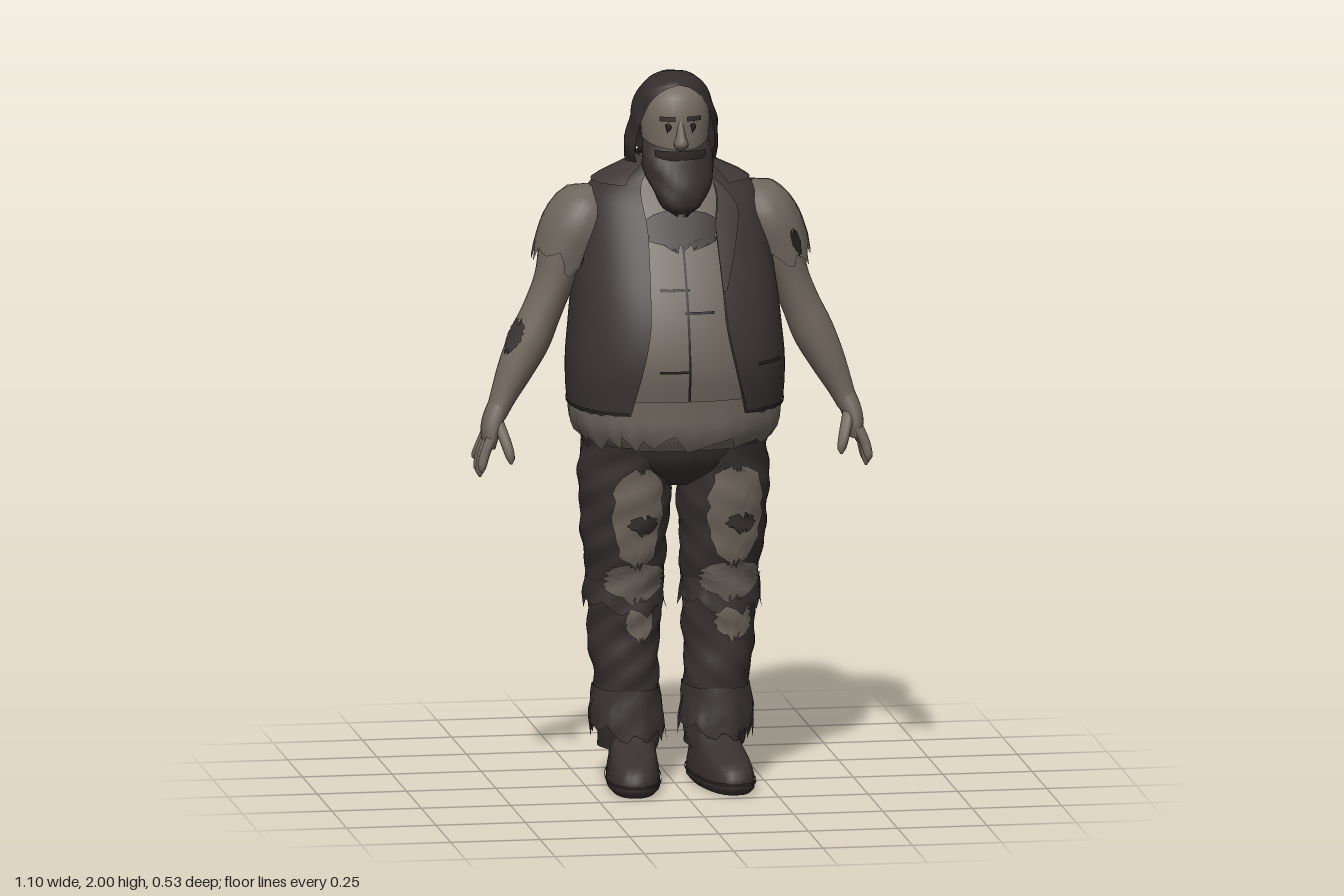
import * as THREE from 'three';

const mat = (name, color) => Object.assign(
  new THREE.MeshStandardMaterial({ color, side: THREE.DoubleSide }), { name });
const M = {
  skin: mat('skin', 0x746a60), shirt: mat('shirt', 0x6d665d), vest: mat('vest', 0x3b3434),
  trousers: mat('trousers', 0x393232), hair: mat('hair', 0x342d2d), boots: mat('boots', 0x383130),
  seam: mat('dark seam', 0x262121), lapel: mat('lapel', 0x413939),
};
const rnd = i => { const s = Math.sin(i * 127.1 + 11.7) * 43758.5453; return s - Math.floor(s); };
const lerp = THREE.MathUtils.lerp;
const TAU = Math.PI * 2;

// Smooth body through rings [y, x, z, rx, rz, tilt], bottom to top; angle 0 faces the front
function surface(rings, { p = 2, wrinkle = 0 } = {}) {
  const slope = (i, k) => {
    const a = rings[Math.max(0, i - 1)], b = rings[Math.min(rings.length - 1, i + 1)];
    return ((b[k] || 0) - (a[k] || 0)) / (b[0] - a[0]);
  };
  const f = (a, y, off = 0) => {
    let i = 0;
    while (i < rings.length - 2 && y > rings[i + 1][0]) i++;
    const A = rings[i], B = rings[i + 1], h = B[0] - A[0];
    const t = THREE.MathUtils.clamp((y - A[0]) / h, 0, 1), t2 = t * t, t3 = t2 * t;
    const val = k => (2 * t3 - 3 * t2 + 1) * (A[k] || 0) + (t3 - 2 * t2 + t) * h * slope(i, k)
      + (3 * t2 - 2 * t3) * (B[k] || 0) + (t3 - t2) * h * slope(i + 1, k);
    const pw = v => Math.sign(v) * Math.abs(v) ** (2 / p);
    const fold = off + wrinkle * Math.sin(y * 55 + a * 2) * Math.sin(a * 3 + y * 17);
    const u = (Math.max(val(3), 0.002) + fold) * pw(Math.sin(a));
    const w = (Math.max(val(4), 0.002) + fold) * pw(Math.cos(a));
    const tilt = val(5);
    return new THREE.Vector3(val(1) + u * Math.cos(tilt), y + u * Math.sin(tilt), val(2) + w);
  };
  f.lo = rings[0][0];
  f.hi = rings[rings.length - 1][0];
  return f;
}
const mirror = f => Object.assign((a, y, o) => {
  const v = f(-a, y, o); v.x *= -1; return v;
}, { lo: f.lo, hi: f.hi });

// Sheet lying on a surface between two heights and two angles, with optional torn ends
function sheet(name, f, material, o = {}) {
  const { y0 = f.lo, y1 = f.hi, a0 = () => -Math.PI, a1 = () => Math.PI, off = 0, flare = 0,
    jag = 0, jagTop = 0, nu = 28, nv = 16 } = o;
  const pos = [], idx = [];
  for (let j = 0; j <= nv; j++) for (let i = 0; i <= nu; i++) {
    const v = j / nv, k = i % nu;
    const y = lerp(y0 + jag * (rnd(k) - 0.5), y1 + jagTop * (rnd(k + 50) - 0.5), v);
    const q = f(lerp(a0(v), a1(v), i / nu), y, off + flare * (1 - v) * (0.5 + rnd(k + 9)));
    pos.push(q.x, q.y, q.z);
    if (i < nu && j < nv) {
      const n = j * (nu + 1) + i, m = n + nu + 1;
      idx.push(n, n + 1, m + 1, n, m + 1, m);
    }
  }
  const g = new THREE.BufferGeometry();
  g.setAttribute('position', new THREE.Float32BufferAttribute(pos, 3));
  g.setIndex(idx);
  g.computeVertexNormals();
  const mesh = new THREE.Mesh(g, material);
  mesh.name = name;
  return mesh;
}
// Rounded patch with ragged edges
function patch(name, f, material, a, w, y0, y1, off = 0.006) {
  const half = v => w * (0.25 + 0.75 * Math.sqrt(Math.max(0, 1 - (2 * v - 1) ** 2)))
    * (0.85 + 0.3 * rnd(Math.round(v * 12) + w * 7));
  return sheet(name, f, material, { y0, y1, off, jag: 0.03, jagTop: 0.03, nu: 10, nv: 12,
    a0: v => a - half(v), a1: v => a + half(v) });
}

export function createModel() {
  const model = new THREE.Group();
  const add = (...m) => model.add(...m);

  // Torso in a shirt
  const torso = surface([
    [0.97, 0, 0, 0.23, 0.2], [1.02, 0, 0, 0.268, 0.232], [1.1, 0, 0, 0.285, 0.245],
    [1.2, 0, 0.002, 0.288, 0.258], [1.3, 0, -0.003, 0.28, 0.25], [1.4, 0, -0.015, 0.27, 0.228],
    [1.5, 0, -0.04, 0.258, 0.202], [1.6, 0, -0.065, 0.245, 0.168], [1.66, 0, -0.075, 0.225, 0.14],
    [1.7, 0, -0.078, 0.18, 0.11], [1.74, 0, -0.07, 0.1, 0.085], [1.77, 0, -0.06, 0.07, 0.06],
  ], { p: 2.3 });
  add(sheet('shirt', torso, M.shirt, { nu: 48, nv: 36 }));
  add(sheet('tornShirtHem', torso, M.shirt,
    { y0: 0.99, y1: 1.12, off: 0.007, flare: 0.012, jag: 0.06, nu: 60, nv: 5 }));
  add(patch('chestHair', torso, M.hair, 0, 0.38, 1.53, 1.62));
  add(sheet('shirtPlacket', torso, M.seam,
    { y0: 1.0, y1: 1.55, off: 0.004, nu: 1, nv: 20, a0: () => -0.006, a1: () => 0.006 }));
  for (const [a, y] of [[-0.1, 1.42], [0.1, 1.36], [-0.12, 1.2], [0.08, 1.08]])
    add(sheet('shirtCrease', torso, M.seam, { y0: y, y1: y + 0.007, off: 0.004, nu: 6, nv: 1,
      a0: () => a - 0.12, a1: v => a + 0.12 }));

  // Open waistcoat with lapels, collar and seams
  const edge = v => 0.31 + 0.2 * Math.max(0, 1 - v / 0.4) ** 1.5 + 0.3 * Math.max(0, (v - 0.7) / 0.3) ** 2;
  add(sheet('vest', torso, M.vest, { y0: 1.075, y1: 1.755, off: 0.014, jag: 0.012, nu: 60, nv: 36,
    a0: edge, a1: v => TAU - edge(v) }));
  add(sheet('vestHem', torso, M.seam, { y0: 1.078, y1: 1.088, off: 0.017, nu: 48, nv: 1,
    a0: () => 0.52, a1: () => TAU - 0.52 }));
  add(sheet('vestYokeSeam', torso, M.seam, { y0: 1.53, y1: 1.537, off: 0.017, nu: 24, nv: 1,
    a0: () => 2.1, a1: () => TAU - 2.1 }));
  add(sheet('vestCollar', torso, M.lapel, { y0: 1.69, y1: 1.765, off: 0.026, nu: 32, nv: 5,
    a0: v => 0.65 + v * 0.3, a1: v => TAU - 0.65 - v * 0.3 }));
  for (const f of [torso, mirror(torso)]) {
    add(sheet('lapel', f, M.lapel, { y0: 1.42, y1: 1.71, off: 0.022, nu: 5, nv: 12,
      a0: v => 0.3 + 0.4 * Math.max(0, v - 0.6), a1: v => 0.34 + 0.42 * Math.min(v, 1.5 - v * 1.1) }));
    add(sheet('vestFrontEdge', f, M.seam, { y0: 1.08, y1: 1.5, off: 0.017, nu: 1, nv: 14,
      a0: v => edge(v * 0.62), a1: v => edge(v * 0.62) + 0.02 }));
    add(sheet('vestPocket', f, M.seam, { y0: 1.21, y1: 1.22, off: 0.017, nu: 6, nv: 1,
      a0: () => 0.65, a1: () => 1.05 }));
  }

  // Seat of the trousers
  add(sheet('trouserSeat', surface([[0.85, 0, -0.03, 0.05, 0.1], [0.89, 0, -0.025, 0.17, 0.165],
    [0.95, 0, -0.012, 0.25, 0.195], [1.06, 0, -0.005, 0.262, 0.215]], { p: 2.3 }), M.trousers));

  // Limbs, built on the left and mirrored to the right
  const leg = surface([
    [0.1, 0.122, -0.06, 0.082, 0.1], [0.2, 0.125, -0.06, 0.09, 0.105], [0.3, 0.128, -0.06, 0.089, 0.108],
    [0.42, 0.133, -0.065, 0.1, 0.117], [0.52, 0.133, -0.055, 0.1, 0.12], [0.6, 0.134, -0.045, 0.108, 0.132],
    [0.75, 0.137, -0.025, 0.121, 0.157], [0.87, 0.136, -0.02, 0.127, 0.175], [0.98, 0.13, -0.01, 0.125, 0.185],
  ], { p: 2.2, wrinkle: 0.005 });
  const boot = surface([
    [0, 0, 0.03, 0.062, 0.18], [0.012, 0, 0.033, 0.073, 0.192], [0.05, 0, 0.033, 0.072, 0.19],
    [0.085, 0, 0.02, 0.066, 0.165], [0.115, 0, -0.02, 0.063, 0.115], [0.15, 0, -0.05, 0.066, 0.085],
    [0.24, 0, -0.055, 0.07, 0.085]], { p: 2.5 });
  const arm = surface([
    [1.04, 0.492, -0.05, 0.028, 0.045, 0.35], [1.09, 0.472, -0.053, 0.036, 0.046, 0.42],
    [1.17, 0.435, -0.058, 0.05, 0.06, 0.45], [1.25, 0.396, -0.06, 0.058, 0.068, 0.45],
    [1.33, 0.361, -0.06, 0.054, 0.07, 0.4], [1.41, 0.328, -0.062, 0.056, 0.078, 0.35],
    [1.5, 0.293, -0.066, 0.075, 0.095, 0.3], [1.58, 0.258, -0.07, 0.082, 0.108, 0.35],
    [1.64, 0.225, -0.072, 0.06, 0.085, 0.5], [1.67, 0.2, -0.074, 0.01, 0.02, 0.5]]);
  const palm = surface([[0.955, 0.512, -0.045, 0.017, 0.052, 0.25], [0.99, 0.51, -0.046, 0.025, 0.058, 0.25],
    [1.03, 0.5, -0.048, 0.029, 0.053, 0.3], [1.08, 0.478, -0.052, 0.03, 0.042, 0.4]]);
  const fingers = [0, 1, 2, 3].map(i => {
    const z = 0.0 - i * 0.031, end = [0.89, 0.872, 0.878, 0.905][i], spread = (1.5 - i) * 0.008;
    return surface([[end, 0.54, z + spread, 0.003, 0.003], [end + 0.012, 0.541, z + spread, 0.011, 0.011],
      [0.94, 0.532, z + spread / 2, 0.014, 0.014, 0.3], [0.985, 0.513, z, 0.015, 0.015, 0.3]]);
  });
  const thumb = surface([[0.915, 0.462, 0.028, 0.003, 0.003], [0.93, 0.463, 0.027, 0.012, 0.012],
    [0.97, 0.473, 0.014, 0.016, 0.016], [1.03, 0.492, -0.025, 0.017, 0.02]]);

  for (const side of [1, -1]) {
    const at = f => side > 0 ? f : mirror(f);
    const n = (side > 0 ? 'left' : 'right');
    const L = at(leg), A = at(arm);
    add(sheet(n + 'TrouserLeg', L, M.trousers, { nu: 32, nv: 60 }));
    add(sheet(n + 'RaggedCuff', L, M.trousers,
      { y0: 0.14, y1: 0.27, off: 0.004, flare: 0.014, jag: 0.07, nu: 36, nv: 4 }));
    add(sheet(n + 'KneeFold', L, M.trousers,
      { y0: 0.5, y1: 0.58, off: 0.002, flare: 0.012, jag: 0.05, nu: 36, nv: 4 }));
    // Holes torn in the trousers
    add(patch(n + 'ThighTear', L, M.skin, 0.12, side > 0 ? 0.62 : 0.55, 0.63, 0.91));
    add(patch(n + 'KneeTear', L, M.shirt, 0.1, 0.75, 0.53, 0.63, 0.013));
    add(patch(n + 'ShinTear', L, M.skin, 0.25, side > 0 ? 0.5 : 0.34, 0.41, 0.51));
    add(patch(n + 'CalfTear', L, M.skin, Math.PI - 0.35, 0.32, 0.42, 0.52));
    add(patch(n + 'TearThreads', L, M.trousers, 0.2, 0.3, 0.73, 0.77, 0.013));

    // Boot with a dark welt
    const foot = new THREE.Group();
    foot.name = n + 'Boot';
    foot.add(sheet('bootUpper', boot, M.boots, { nu: 28, nv: 20 }));
    foot.add(sheet('bootWelt', boot, M.seam, { y0: 0.028, y1: 0.036, off: 0.004, nv: 1 }));
    const sole = new THREE.Mesh(new THREE.CylinderGeometry(1, 1, 0.008, 28), M.boots);
    sole.name = 'sole';
    sole.scale.set(0.064, 1, 0.18);
    sole.position.set(0, 0.004, 0.03);
    foot.add(sole);
    foot.position.x = side * 0.118;
    foot.rotation.y = side * 0.12;
    add(foot);

    // Arm, torn sleeve and hand
    add(sheet(n + 'Arm', A, M.skin, { nu: 24, nv: 36 }));
    add(sheet(n + 'Sleeve', A, M.shirt,
      { y0: 1.46, y1: 1.665, off: 0.008, flare: 0.009, jag: 0.075, nu: 32, nv: 8 }));
    add(patch(n + 'SleeveTear', A, M.seam, 0.5, 0.16, 1.47, 1.53, 0.02));
    add(sheet(n + 'Palm', at(palm), M.skin, { nu: 16, nv: 8 }));
    fingers.forEach(f => add(sheet(n + 'Finger', at(f), M.skin, { nu: 8, nv: 8 })));
    add(sheet(n + 'Thumb', at(thumb), M.skin, { nu: 8, nv: 8 }));
    if (side < 0) add(patch('forearmMark', A, M.vest, -1.1, 0.5, 1.2, 1.28, 0.004));
  }

  // Head and neck
  const head = surface([[1.62, 0, -0.06, 0.1, 0.1], [1.7, 0, -0.04, 0.085, 0.085],
    [1.76, 0, 0.0, 0.085, 0.098], [1.85, 0, 0.003, 0.095, 0.102], [1.92, 0, 0, 0.09, 0.097],
    [1.965, 0, -0.01, 0.065, 0.075], [1.985, 0, -0.015, 0.01, 0.01]]);
  add(sheet('head', head, M.skin, { nu: 28, nv: 24 }));
  const nose = surface([[1.798, 0, 0.1, 0.008, 0.012], [1.812, 0, 0.108, 0.021, 0.026],
    [1.835, 0, 0.105, 0.014, 0.02], [1.88, 0, 0.096, 0.007, 0.008]]);
  add(sheet('nose', nose, M.skin, { nu: 10, nv: 8 }));
  for (const s of [1, -1]) {
    add(patch('eye', head, M.seam, s * 0.36, 0.1, 1.857, 1.864, 0.004));
    add(sheet('eyebrow', head, M.hair, { y0: 1.88, y1: 1.893, off: 0.008, nu: 6, nv: 2,
      a0: () => s * 0.38 - 0.22, a1: () => s * 0.38 + 0.22 }));
  }

  // Long hair, open around the face
  const hair = surface([[1.71, 0, -0.075, 0.118, 0.1], [1.78, 0, -0.062, 0.13, 0.115],
    [1.86, 0, -0.04, 0.122, 0.117], [1.92, 0, -0.025, 0.107, 0.11], [1.965, 0, -0.018, 0.083, 0.092],
    [1.99, 0, -0.02, 0.05, 0.06], [2.0, 0, -0.02, 0.003, 0.003]], { wrinkle: 0.004 });
  const gap = v => v > 0.9 ? 0 : 1.0 * Math.sqrt(1 - (v / 0.9) ** 4);
  add(sheet('hair', hair, M.hair, { y0: 1.735, y1: 2, jag: 0.06, nu: 44, nv: 30,
    a0: gap, a1: v => TAU - gap(v) }));

  // Full beard and moustache
  const beard = surface([[1.62, 0, 0.125, 0.012, 0.01], [1.64, 0, 0.118, 0.05, 0.035],
    [1.69, 0, 0.095, 0.08, 0.058], [1.74, 0, 0.066, 0.098, 0.072], [1.78, 0, 0.045, 0.098, 0.075],
    [1.8, 0, 0.035, 0.094, 0.068], [1.83, 0, 0.0, 0.09, 0.06]], { wrinkle: 0.004 });
  add(sheet('beard', beard, M.hair, { jag: 0.02, nu: 28, nv: 18 }));
  add(sheet('moustache', head, M.hair, { y0: 1.765, y1: 1.8, off: 0.022, jag: 0.015, nu: 14, nv: 4,
    a0: () => -0.7, a1: () => 0.7 }));
  return model;
}
